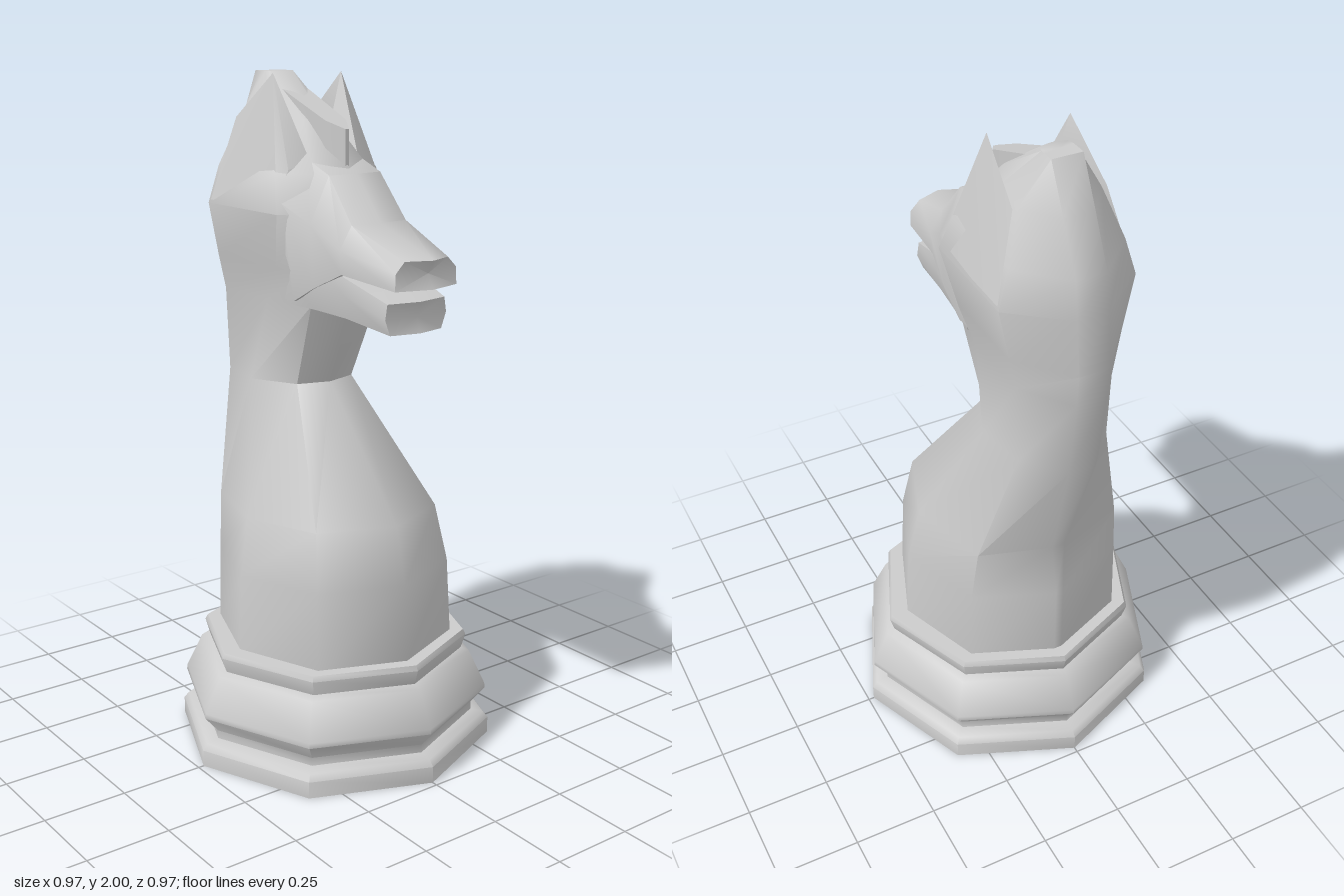
import * as THREE from 'three';
import { toCreasedNormals } from 'three/addons/utils/BufferGeometryUtils.js';
import { ConvexGeometry } from 'three/addons/geometries/ConvexGeometry.js';

const material = new THREE.MeshStandardMaterial({ color: 0xcccccc });
const CX = -0.012; // the head sits slightly off the base axis

function addMesh(group, name, geometry, crease = 0.95) {
  const mesh = new THREE.Mesh(toCreasedNormals(geometry, crease), material);
  mesh.name = name;
  group.add(mesh);
  return mesh;
}

// Skin through closed rings of [x, y, z] points, capped at both ends
function loft(rings) {
  const n = rings[0].length, pos = rings.flat(2), index = [];
  for (let i = 0; i < rings.length - 1; i++) {
    for (let j = 0; j < n; j++) {
      const k = (j + 1) % n, a = i * n + j, b = i * n + k;
      index.push(a, b, b + n, a, b + n, a + n);
    }
  }
  [0, rings.length - 1].forEach((r, end) => {
    const centre = pos.length / 3;
    for (let c = 0; c < 3; c++) pos.push(rings[r].reduce((s, p) => s + p[c], 0) / n);
    for (let j = 0; j < n; j++) {
      const a = r * n + j, b = r * n + (j + 1) % n;
      index.push(centre, end ? a : b, end ? b : a);
    }
  });
  const g = new THREE.BufferGeometry();
  g.setAttribute('position', new THREE.Float32BufferAttribute(pos, 3));
  g.setIndex(index);
  g.computeVertexNormals();
  return g;
}

// Horizontal ring: front centre, front corner, side, back corner, mane edge, then mirrored
function neckRing([y, zf, fx, fz, sx, sz, bx, bz, mx, mz]) {
  const half = [[fx, fz], [sx, sz], [bx, bz], [mx, mz]];
  const cx = CX * Math.min(1, Math.max(0, (y - 0.4) / 0.7));
  return [[0, zf], ...half, ...half.map(([x, z]) => [-x, z]).reverse()]
    .map(([x, z]) => [x + cx, y, z]);
}

// Upright ring for a jaw: wide at the bottom, rounded on top, centre line pushed forward
function jawRing([z, top, mid, bottom, wTop, wMid, wBottom, bulge]) {
  return [[wBottom, bottom], [wMid, mid], [wTop, top], [0, top, bulge],
    [-wTop, top], [-wMid, mid], [-wBottom, bottom], [0, bottom, bulge]]
    .map(([x, y, d = 0]) => [x + CX, y, z + d]);
}

export function createModel() {
  const model = new THREE.Group();
  model.name = 'chessKnight';

  // Eight-sided turned foot
  const profile = [[0, 0], [0.483, 0], [0.483, 0.05], [0.468, 0.068], [0.43, 0.075], [0.43, 0.1],
    [0.472, 0.15], [0.47, 0.165], [0.42, 0.27], [0.395, 0.28], [0.408, 0.325], [0.4, 0.34], [0, 0.34]];
  addMesh(model, 'base', new THREE.LatheGeometry(profile.map(p => new THREE.Vector2(...p)), 8));

  // Chest, neck and back of the head with the mane ridge
  addMesh(model, 'neck', loft([
    [0.33, 0.36, 0.25, 0.26, 0.347, 0, 0.25, -0.26, 0.012, -0.358],
    [0.57, 0.348, 0.243, 0.25, 0.335, 0, 0.245, -0.255, 0.012, -0.354],
    [0.74, 0.312, 0.22, 0.22, 0.302, -0.01, 0.23, -0.265, 0.02, -0.332],
    [1.11, 0, 0.1, -0.03, 0.17, -0.17, 0.14, -0.33, 0.042, -0.442],
    [1.36, 0.1, 0.12, 0.07, 0.153, -0.1, 0.15, -0.33, 0.045, -0.474],
    [1.46, 0.13, 0.14, 0.09, 0.172, -0.03, 0.17, -0.335, 0.045, -0.483],
    [1.62, 0.13, 0.13, 0.09, 0.202, 0.02, 0.202, -0.335, 0.045, -0.463],
    [1.73, 0.1, 0.1, 0.06, 0.18, -0.02, 0.17, -0.325, 0.045, -0.448],
    [1.87, -0.03, 0.05, -0.06, 0.1, -0.15, 0.12, -0.28, 0.045, -0.378],
    [2.0, -0.23, 0.04, -0.24, 0.045, -0.26, 0.045, -0.28, 0.045, -0.31],
  ].map(neckRing)));

  // Forehead, nose and upper lip
  addMesh(model, 'upperHead', loft([
    [-0.05, 1.78, 1.65, 1.37, 0.08, 0.17, 0.14, 0],
    [0.02, 1.765, 1.65, 1.37, 0.09, 0.185, 0.145, 0],
    [0.115, 1.73, 1.6, 1.42, 0.09, 0.155, 0.145, 0.008],
    [0.225, 1.605, 1.54, 1.472, 0.095, 0.135, 0.13, 0.008],
    [0.43, 1.53, 1.5, 1.452, 0.075, 0.105, 0.107, 0.03],
  ].map(jawRing)));

  // Lower jaw, parted from the lip
  addMesh(model, 'lowerJaw', loft([
    [-0.02, 1.5, 1.43, 1.357, 0.14, 0.15, 0.14, 0],
    [0.1, 1.49, 1.43, 1.355, 0.14, 0.145, 0.125, 0],
    [0.22, 1.465, 1.42, 1.348, 0.12, 0.125, 0.11, 0.005],
    [0.39, 1.412, 1.37, 1.325, 0.1, 0.107, 0.09, 0.02],
  ].map(jawRing)));

  // Crest running forward between the ears into a pointed forelock
  const crest = [[-0.3, 2.0, 1.75, 0.045], [-0.15, 1.942, 1.74, 0.044],
    [0.025, 1.872, 1.735, 0.036], [0.08, 1.85, 1.735, 0.006]];
  addMesh(model, 'forelock', loft(crest.map(([z, top, bottom, w]) =>
    [[w, bottom], [w, top], [-w, top], [-w, bottom]].map(([x, y]) => [x + CX, y, z]))), 0.6);

  // Pointed ears blending into the cheeks
  for (const side of [1, -1]) {
    const points = [[0.12, 2.0, -0.11], [0.085, 1.76, 0.02], [0.15, 1.74, 0.005], [0.198, 1.63, 0.015],
      [0.2, 1.63, -0.325], [0.135, 1.87, -0.28], [0.07, 1.84, -0.1]]
      .map(([x, y, z]) => new THREE.Vector3(side * x + CX, y, z));
    addMesh(model, side > 0 ? 'leftEar' : 'rightEar', new ConvexGeometry(points), 0.5);
  }
  return model;
}
